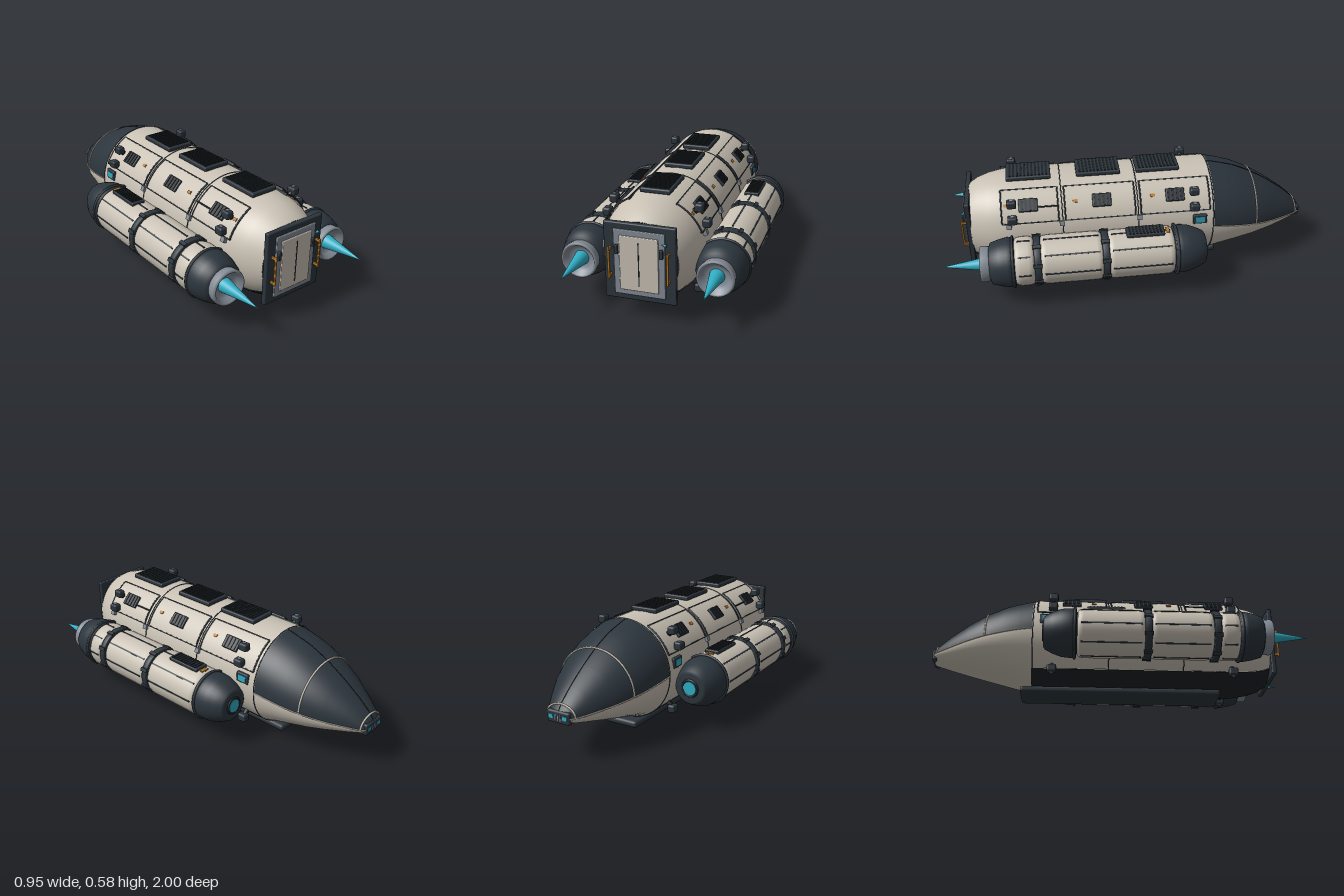
import * as THREE from 'three';
import { RoundedBoxGeometry } from 'three/addons/geometries/RoundedBoxGeometry.js';

const paint = (name, color, side = THREE.FrontSide) =>
  Object.assign(new THREE.MeshStandardMaterial({ color, side }), { name });

export function createModel() {
  const model = new THREE.Group();
  model.name = 'shuttle';
  const cream = paint('cream hull', 0xc9c1b4, THREE.DoubleSide);
  const dark = paint('dark slate', 0x2c353d, THREE.DoubleSide);
  const black = paint('black belly', 0x1c2125, THREE.DoubleSide);
  const grey = paint('grey metal', 0x838b95);
  const cyan = paint('cyan glow', 0x2fabc2);
  const orange = paint('orange', 0xbd7a22);
  const rad = THREE.MathUtils.degToRad;
  const CY = 0.297, R = 0.262;

  const add = (name, geo, mat, x = 0, y = 0, z = 0, parent = model) => {
    const m = new THREE.Mesh(geo, mat);
    m.name = name;
    m.position.set(x, y, z);
    parent.add(m);
    return m;
  };
  const box = (w, h, d) => new THREE.BoxGeometry(w, h, d);
  const rbox = (w, h, d, r) => new RoundedBoxGeometry(w, h, d, 2, r);
  const lathe = (pts, n = 40) =>
    new THREE.LatheGeometry(pts.map(p => new THREE.Vector2(p[0], p[1])), n).rotateX(Math.PI / 2);

  // Skin over sections [z, top, bottom, halfWidth, midY], between two angles
  function skin(sections, a0, a1, off = 0, n = 40) {
    const pos = [], idx = [];
    sections.forEach(([z, top, bottom, hw, mid], i) => {
      for (let j = 0; j <= n; j++) {
        const a = rad(a0 + (a1 - a0) * j / n), s = Math.sin(a);
        pos.push((hw + off) * Math.cos(a), mid + ((s > 0 ? top - mid : mid - bottom) + off) * s, z);
        if (i && j < n) {
          const p = (i - 1) * (n + 1) + j, q = p + n + 1;
          idx.push(p, p + 1, q, p + 1, q + 1, q);
        }
      }
    });
    const g = new THREE.BufferGeometry();
    g.setAttribute('position', new THREE.Float32BufferAttribute(pos, 3));
    g.setIndex(idx);
    g.computeVertexNormals();
    return g;
  }
  const round = (z, r, rx = r) => [z, CY + r, CY - r, rx, CY];

  // Main hull, belly shield and aft bulkhead
  const hull = [round(-0.45, R), round(-0.2, R), round(0.2, R), round(0.6, R, 0.26), round(0.67, 0.256, 0.252),
    round(0.74, 0.244, 0.232), round(0.8, 0.224, 0.205), round(0.845, 0.195, 0.182)];
  add('hull', skin(hull, -48, 228, 0, 64), cream);
  add('belly', skin(hull, 228, 312, 0.003), black);
  add('aftBulkhead', new THREE.CircleGeometry(1, 48).scale(0.183, 0.197, 1), dark, 0, CY, 0.844);
  for (const z of [-0.445, -0.04, 0.36])
    add('hullSeam', new THREE.TorusGeometry(R, 0.003, 6, 72), dark, 0, CY, z);

  // Nose: dark canopy above, cream underside
  const nose = [
    [-0.99, 0.25, 0.19, 0.062, 0.22], [-0.97, 0.278, 0.184, 0.082, 0.222], [-0.9, 0.34, 0.165, 0.125, 0.232],
    [-0.8, 0.412, 0.14, 0.181, 0.248], [-0.7, 0.472, 0.113, 0.222, 0.264], [-0.6, 0.518, 0.086, 0.246, 0.278],
    [-0.52, 0.541, 0.062, 0.257, 0.289], [-0.445, CY + R, CY - R, R, CY]];
  add('canopy', skin(nose, 0, 180), dark);
  add('noseUnderside', skin(nose, 180, 360), cream);
  // Cream ribs over the canopy, and the sills along its lower edge
  const rib = ([z, top, , hw, mid]) => {
    const pts = Array.from({ length: 25 }, (_, i) => {
      const a = Math.PI * i / 24;
      return new THREE.Vector3(hw * Math.cos(a), mid + (top - mid) * Math.sin(a), z);
    });
    add('canopyRib', new THREE.TubeGeometry(new THREE.CatmullRomCurve3(pts), 48, 0.005, 6), cream);
  };
  rib(nose[4]);
  rib(nose[1]);
  for (const s of [1, -1]) {
    const sill = new THREE.CatmullRomCurve3(nose.map(([z, , , hw, mid]) => new THREE.Vector3(s * hw, mid, z)));
    add('canopySill', new THREE.TubeGeometry(sill, 40, 0.004, 6), cream);
  }
  const spine = new THREE.CatmullRomCurve3(nose.map(([z, top]) => new THREE.Vector3(0, top, z)));
  add('canopySpine', new THREE.TubeGeometry(spine, 40, 0.002, 5), black);
  add('noseCap', rbox(0.13, 0.062, 0.03, 0.01), dark, 0, 0.22, -0.982);
  for (const x of [-0.04, 0.04]) add('noseLight', box(0.026, 0.02, 0.006), cyan, x, 0.222, -0.997);
  for (const x of [-0.014, 0, 0.014]) add('noseGrille', box(0.005, 0.03, 0.005), grey, x, 0.22, -0.997);

  // Keel skid
  add('keel', rbox(0.19, 0.036, 1.08, 0.015), dark, 0, 0.018, 0.03);

  // Louvred vent lying flat, slats running across
  function vent(name, w, h, l, slats) {
    const g = new THREE.Group();
    g.name = name;
    add('ventBase', rbox(w, h, l, h * 0.3), dark, 0, 0, 0, g);
    for (let i = 0; i < slats; i++)
      add('ventSlat', box(w * 0.84, 0.005, l * 0.45 / slats), black, 0, h / 2 + 0.001, l * 0.9 * ((i + 0.5) / slats - 0.5), g);
    model.add(g);
    return g;
  }
  for (const z of [-0.165, 0.155, 0.525]) vent('roofVent', 0.155, 0.024, 0.235, 11).position.set(0, 0.567, z);

  // Place a part on the hull surface: local y points outward
  const onHull = (obj, deg, z, r = R) => {
    obj.position.set(r * Math.cos(rad(deg)), CY + r * Math.sin(rad(deg)), z);
    obj.rotation.z = rad(deg - 90);
    return obj;
  };

  for (const s of [1, -1]) {
    const ang = d => (s > 0 ? d : 180 - d);

    // Raised service panels with dark outlines
    for (const [z0, z1] of [[-0.425, -0.055], [-0.025, 0.345], [0.38, 0.675]]) {
      add('sidePanel', skin([round(z0, R), round(z1, R)], Math.min(ang(23), ang(63)), Math.max(ang(23), ang(63)), 0.004, 14), cream);
      for (const d of [23, 63])
        onHull(add('panelEdge', box(0.006, 0.012, z1 - z0), dark), ang(d), (z0 + z1) / 2);
      for (const z of [z0, z1]) {
        const arc = add('panelEdge', new THREE.TorusGeometry(R + 0.002, 0.0045, 6, 16, rad(40)), dark, 0, CY, z);
        arc.rotation.z = rad(Math.min(ang(23), ang(63)));
      }
    }

    // Small vents, tags and brackets
    for (const z of [-0.24, 0.15, 0.535]) onHull(vent('sideVent', 0.07, 0.02, 0.1, 4), ang(43), z, R + 0.006);
    for (const z of [-0.12, 0.29, 0.65]) onHull(add('orangeTag', box(0.016, 0.012, 0.024), orange), ang(44), z, R + 0.003);
    for (const z of [-0.045, 0.365, 0.64]) onHull(add('bracket', box(0.026, 0.02, 0.026), grey), ang(20), z, R + 0.004);
    add('conduit', new THREE.CylinderGeometry(0.004, 0.004, 0.12, 8).rotateX(Math.PI / 2), black, s * 0.208, 0.472, 0.44);

    // Manoeuvring thrusters
    for (const [x, y, z] of [[0.215, 0.505, 0.62], [0.215, 0.505, -0.34], [0.253, 0.43, 0.62], [0.253, 0.43, -0.34],
      [0.215, 0.083, -0.34], [0.215, 0.083, 0.62]]) {
      add('thruster', rbox(0.042, 0.042, 0.05, 0.01), dark, s * x, y, z);
      const neck = add('thrusterNeck', new THREE.CylinderGeometry(0.012, 0.016, 0.06, 10), black, s * x * 0.93, y + (CY - y) * 0.07, z);
      neck.rotation.z = Math.atan2(y - CY, s * x) - Math.PI / 2;
      add('thrusterPort', new THREE.CylinderGeometry(0.01, 0.01, 0.004, 12), grey, s * x, y + Math.sign(y - CY) * 0.022, z);
    }

    // Side window
    add('windowFrame', rbox(0.02, 0.055, 0.075, 0.006), dark, s * 0.256, 0.353, -0.37);
    add('window', box(0.006, 0.034, 0.05), cyan, s * 0.265, 0.353, -0.37);

    // Engine pod
    const pod = new THREE.Group();
    pod.name = s > 0 ? 'leftPod' : 'rightPod';
    pod.position.set(s * 0.34, 0.23, 0);
    model.add(pod);
    const put = (name, geo, mat, x = 0, y = 0, z = 0) => add(name, geo, mat, x, y, z, pod);
    put('podCore', lathe([[0.108, -0.22], [0.108, 0.64]]), dark);
    put('podNose', lathe([[0, -0.382], [0.075, -0.382], [0.088, -0.374], [0.108, -0.335], [0.124, -0.29], [0.128, -0.25], [0.128, -0.215], [0.1, -0.21]]), dark);
    put('podIntakeRing', new THREE.TorusGeometry(0.042, 0.007, 8, 28), black, 0, 0, -0.382);
    put('podIntakeLight', new THREE.CylinderGeometry(0.036, 0.036, 0.008, 24).rotateX(Math.PI / 2), cyan, 0, 0, -0.384);
    for (const [a, b] of [[-0.21, 0.14], [0.165, 0.49], [0.52, 0.625]]) {
      put('podTank', lathe([[0.1, a], [0.115, a + 0.004], [0.124, a + 0.014], [0.128, a + 0.032],
        [0.128, b - 0.032], [0.124, b - 0.014], [0.115, b - 0.004], [0.1, b]]), cream);
      for (let i = 0; i < 8; i++) {
        const t = i * Math.PI / 4;
        const seam = put('podSeam', box(0.008, 0.005, b - a - 0.04), dark, 0.1275 * Math.cos(t), 0.1275 * Math.sin(t), (a + b) / 2);
        seam.rotation.z = t - Math.PI / 2;
      }
    }
    for (const z of [0.153, 0.505]) {
      put('podCollar', lathe([[0.1, z - 0.018], [0.127, z - 0.018], [0.131, z - 0.012], [0.131, z + 0.012], [0.127, z + 0.018], [0.1, z + 0.018]]), dark);
      for (let i = 0; i < 8; i++) {
        const t = (i + 0.5) * Math.PI / 4;
        put('podClamp', box(0.02, 0.014, 0.044), dark, 0.13 * Math.cos(t), 0.13 * Math.sin(t), z).rotation.z = t - Math.PI / 2;
      }
    }
    for (const z of [-0.222, 0.632]) put('podFlange', new THREE.TorusGeometry(0.129, 0.008, 8, 48), dark, 0, 0, z);
    put('podTail', lathe([[0.1, 0.62], [0.13, 0.625], [0.13, 0.66], [0.122, 0.7], [0.108, 0.745], [0.085, 0.755]]), dark);
    put('nozzle', lathe([[0.085, 0.74], [0.09, 0.755], [0.094, 0.79], [0.09, 0.8], [0.08, 0.798], [0.065, 0.775], [0.045, 0.762], [0, 0.76]]), grey);
    put('flame', new THREE.ConeGeometry(0.038, 0.24, 24).rotateX(Math.PI / 2), cyan, 0, 0, 0.88);
    vent('podVent', 0.08, 0.02, 0.2, 10).position.set(s * 0.34, 0.36, -0.06);
    put('podTag', box(0.045, 0.01, 0.016), orange, 0, 0.126, -0.178);

    // Door handles and latches
    add('doorHandle', rbox(0.011, 0.16, 0.011, 0.004), orange, s * 0.143, 0.293, 0.892);
    for (const y of [0.225, 0.36]) add('handlePost', box(0.009, 0.012, 0.03), orange, s * 0.143, y, 0.876);
    add('doorLatch', rbox(0.018, 0.046, 0.018, 0.004), dark, s * 0.109, 0.362, 0.878);
  }

  // Aft door
  add('doorFrame', rbox(0.35, 0.39, 0.026, 0.006), dark, 0, 0.295, 0.853);
  add('doorSurround', rbox(0.25, 0.33, 0.012, 0.004), grey, 0, 0.295, 0.869);
  add('door', rbox(0.19, 0.275, 0.012, 0.004), cream, 0, 0.295, 0.876);
  add('doorSlit', box(0.005, 0.22, 0.004), black, 0, 0.295, 0.882);
  add('doorLight', new THREE.ConeGeometry(0.008, 0.026, 12).rotateZ(Math.PI / 2), cyan, 0.122, 0.411, 0.882);

  return model;
}
